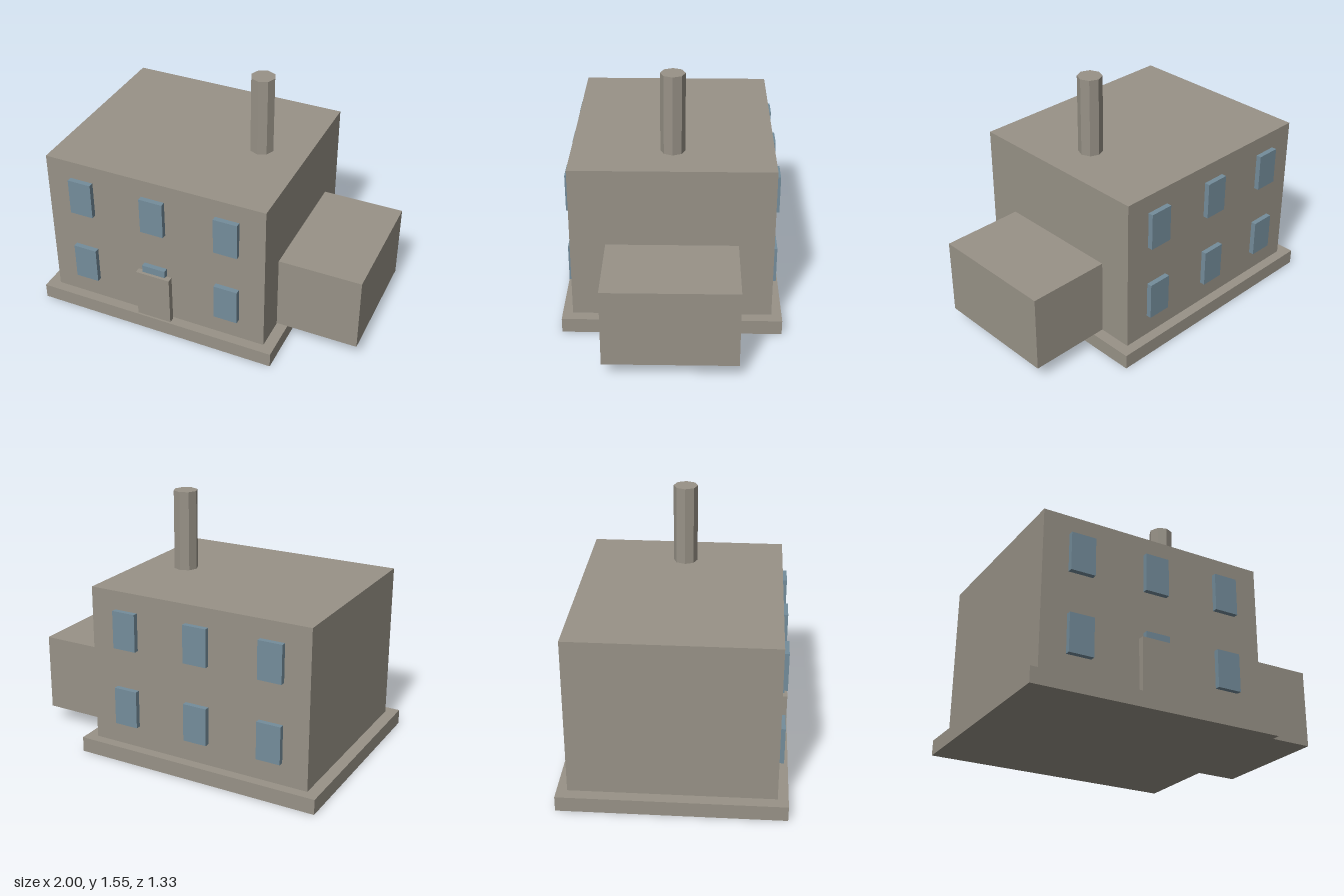
import * as THREE from 'three';

export function createModel() {
  const model = new THREE.Group();
  const wall = new THREE.MeshStandardMaterial({ color: 0x989287 });
  wall.name = 'stone';
  const glass = new THREE.MeshStandardMaterial({ color: 0x748d9b });
  glass.name = 'glass';

  // Box given by its extents on each axis
  function box(name, material, [x0, x1], [y0, y1], [z0, z1]) {
    const mesh = new THREE.Mesh(new THREE.BoxGeometry(x1 - x0, y1 - y0, z1 - z0), material);
    mesh.position.set((x0 + x1) / 2, (y0 + y1) / 2, (z0 + z1) / 2);
    mesh.name = name;
    model.add(mesh);
  }

  box('foundation', wall, [-1, 0.556], [0, 0.093], [-0.665, 0.665]);
  box('building', wall, [-0.928, 0.487], [0.093, 1.062], [-0.603, 0.603]);
  box('annex', wall, [0.487, 1], [0.097, 0.578], [-0.393, 0.393]);
  box('door', wall, [-0.333, -0.111], [0.093, 0.415], [0.615, 0.653]);

  // Octagonal chimney with a corner facing the front
  const chimneyGeometry = new THREE.CylinderGeometry(0.074, 0.074, 0.488, 8).toNonIndexed();
  chimneyGeometry.computeVertexNormals();
  const chimney = new THREE.Mesh(chimneyGeometry, wall);
  chimney.position.set(0.204, 1.306, 0);
  chimney.name = 'chimney';
  model.add(chimney);

  // Two rows of three windows on the front and back
  for (const side of [1, -1]) {
    for (const x of [-0.695, -0.222, 0.251]) {
      for (const y of [0.347, 0.832]) {
        const z = side > 0 ? [0.603, 0.635] : [-0.635, -0.603];
        box(side > 0 ? 'frontWindow' : 'backWindow', glass, [x - 0.075, x + 0.075], [y - 0.116, y + 0.116], z);
      }
    }
  }
  return model;
}
